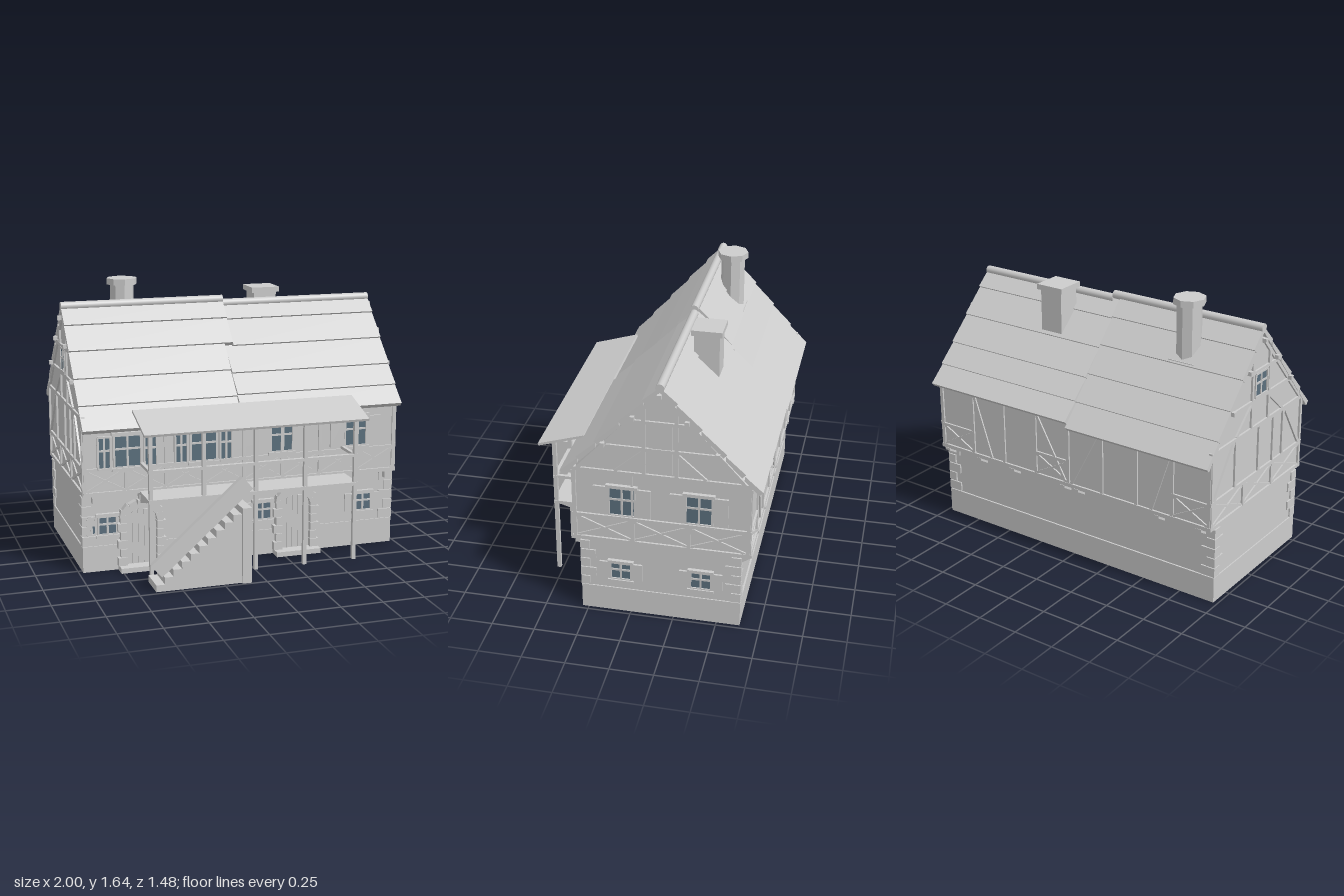
import * as THREE from 'three';

const plaster = new THREE.MeshStandardMaterial({ color: 0xcccccc });
plaster.name = 'light grey';
const glass = new THREE.MeshStandardMaterial({ color: 0x5b6f7d });
glass.name = 'window glass';

const RIDGE_Z = -0.175;

export function createModel() {
  const house = new THREE.Group();
  house.name = 'house';

  function add(parent, name, geo, mat = plaster) {
    const m = new THREE.Mesh(geo, mat);
    m.name = name;
    parent.add(m);
    return m;
  }
  // box given by its limits
  function box(parent, name, x1, x2, y1, y2, z1, z2, mat) {
    const m = add(parent, name, new THREE.BoxGeometry(x2 - x1, y2 - y1, z2 - z1), mat);
    m.position.set((x1 + x2) / 2, (y1 + y2) / 2, (z1 + z2) / 2);
    return m;
  }
  // straight bar between two points of a facade
  function beam(parent, name, u1, v1, u2, v2, w = 0.02, d = 0.01, z = 0) {
    const m = add(parent, name, new THREE.BoxGeometry(Math.hypot(u2 - u1, v2 - v1), w, d + 0.01));
    m.position.set((u1 + u2) / 2, (v1 + v2) / 2, z + d / 2 - 0.005);
    m.rotation.z = Math.atan2(v2 - v1, u2 - u1);
    return m;
  }
  // (z, y) outline extruded along x
  function prism(parent, name, points, x1, x2) {
    const shape = new THREE.Shape(points.map(p => new THREE.Vector2(...p)));
    const geo = new THREE.ExtrudeGeometry(shape, { depth: x2 - x1, bevelEnabled: false });
    geo.rotateY(-Math.PI / 2).translate(x2, 0, 0);
    return add(parent, name, geo);
  }
  // facade frame: local x along the wall, local z outwards
  function facade(name, x, z, turn) {
    const g = new THREE.Group();
    g.name = name;
    g.position.set(x, 0, z);
    g.rotation.y = turn;
    house.add(g);
    return g;
  }
  function pane(g, u, v, w, h, z) {
    box(g, 'windowPane', u - w / 2, u + w / 2, v - h / 2, v + h / 2, z - 0.002, z + 0.006, glass);
    beam(g, 'mullion', u, v - h / 2, u, v + h / 2, 0.012, 0.011, z);
    beam(g, 'glazingBar', u - w / 2, v + h * 0.08, u + w / 2, v + h * 0.08, 0.012, 0.011, z);
    for (const s of [-1, 1]) {
      beam(g, 'windowJamb', u + s * w / 2, v - h / 2, u + s * w / 2, v + h / 2, 0.012, 0.014, z);
      beam(g, 'windowRail', u - w / 2, v + s * h / 2, u + w / 2, v + s * h / 2, 0.012, 0.014, z);
    }
  }
  function windowUnit(g, u, v, w, h, z, shutter) {
    pane(g, u, v, w, h, z);
    for (const s of [-1, 1]) {
      beam(g, s < 0 ? 'windowSill' : 'windowHead', u - w / 2 - 0.015, v + s * (h / 2 + 0.01),
        u + w / 2 + 0.015, v + s * (h / 2 + 0.01), 0.018, 0.022, z);
      const c = u + s * (w / 2 + shutter / 2 + 0.004);
      if (shutter) box(g, 'shutter', c - shutter / 2, c + shutter / 2, v - h / 2, v + h / 2, z, z + 0.012);
    }
  }
  function cross(g, u1, u2, z) {
    beam(g, 'crossBrace', u1, 0.49, u2, 0.62, 0.014, 0.008, z);
    beam(g, 'crossBrace', u1, 0.62, u2, 0.49, 0.014, 0.009, z);
  }

  // solid body
  box(house, 'plinth', -0.975, 0.975, 0, 0.155, -0.635, 0.287);
  box(house, 'groundFloor', -0.968, 0.968, 0.155, 0.475, -0.625, 0.28);
  prism(house, 'upperFloorAndGables', [[0.32, 0.47], [0.32, 0.91], [RIDGE_Z, 1.465], [-0.675, 0.91], [-0.675, 0.47]], -0.965, 0.965);

  // corner stones
  for (const sx of [-1, 1]) for (const front of [true, false]) for (let i = 0; i < 5; i++) {
    const long = i % 2 === 1 ? 0.09 : 0.055, y = 0.16 + i * 0.061;
    const z = front ? 0.29 : -0.635, zi = z + (front ? -long : long);
    const xi = 0.977 - (i % 2 ? 0.055 : 0.09);
    box(house, 'cornerStone', Math.min(sx * 0.977, sx * xi), Math.max(sx * 0.977, sx * xi),
      y, y + 0.056, Math.min(z, zi), Math.max(z, zi));
  }

  // joist ends carrying the overhang
  for (const x of [-0.9, -0.62, -0.06, 0.04, 0.42, 0.68, 0.93]) {
    box(house, 'frontJoist', x - 0.02, x + 0.02, 0.425, 0.47, 0.27, 0.325);
    prism(house, 'backJoist', [[-0.62, 0.41], [-0.62, 0.47], [-0.69, 0.47], [-0.69, 0.455]], x - 0.018, x + 0.018);
  }

  // gable ends
  for (const s of [1, -1]) {
    const g = facade(s > 0 ? 'leftGableEnd' : 'rightGableEnd', s * 0.965, 0, s * Math.PI / 2);
    const u = z => -s * z;
    const bar = (z1, y1, z2, y2, w) => beam(g, 'gableTimber', u(z1), y1, u(z2), y2, w, 0.012);
    for (const y of [0.48, 0.632, 0.93]) bar(0.33, y, -0.685, y, 0.022);
    bar(0.15, 1.095, -0.5, 1.095);
    bar(-0.01, 1.263, -0.34, 1.263);
    for (const z of [0.315, -0.67]) bar(z, 0.47, z, 0.93);
    for (const z of [-0.015, -0.335]) bar(z, 0.47, z, 0.63);
    bar(-0.015, 0.63, -0.015, 0.93, 0.012);
    for (const z of [-0.083, -0.265]) bar(z, 0.94, z, 1.36);
    bar(-0.09, 1.09, 0.08, 0.94, 0.016);
    bar(-0.26, 1.09, -0.43, 0.94, 0.016);
    for (const k of [1, -1]) bar(RIDGE_Z + k * 0.01, 1.44, RIDGE_Z + k * 0.47, 0.935);
    cross(g, u(0.305), u(-0.015), 0);
    cross(g, u(-0.015), u(-0.335), 0);
    cross(g, u(-0.335), u(-0.66), 0);
    for (const [d, y] of [[0, 1.435], [0.15, 1.29], [0.318, 1.11]]) for (const k of d ? [1, -1] : [1]) {
      const c = u(RIDGE_Z + k * d);
      box(g, 'purlinEnd', c - 0.012, c + 0.012, y - 0.012, y + 0.012, -0.01, 0.035);
    }
    if (s > 0) {
      box(g, 'atticHatch', u(-0.11), u(-0.24), 0.95, 1.25, -0.01, 0.006);
      for (const z of [0.043, -0.392]) windowUnit(g, u(z), 0.742, 0.15, 0.18, 0, 0.085);
      for (const z of [0.055, -0.407]) windowUnit(g, u(z), 0.277, 0.12, 0.11, 0.003, 0.06);
    } else {
      pane(g, u(RIDGE_Z), 1.18, 0.13, 0.14, 0);
      for (const [a, b] of [[0.3, 0.12], [-0.65, -0.45]]) bar(a, 0.64, b, 0.92);
      for (const z of [0.1, -0.175, -0.43]) bar(z, 0.63, z, 0.93);
    }
  }

  // long walls
  const front = facade('frontWall', 0, 0.32, 0);
  const back = facade('backWall', 0, -0.675, Math.PI);
  for (const g of [front, back]) {
    for (const y of [0.48, 0.9]) beam(g, 'wallPlate', -0.97, y, 0.97, y, 0.024, 0.012);
    for (let i = 0; i <= 8; i++) {
      const x = -0.96 + i * 0.24;
      const broken = g === front && (i === 1 || i === 3);
      beam(g, 'wallPost', x, 0.48, x, broken ? 0.63 : 0.9, 0.02, 0.01);
      if (i < 8 && (g === front || i === 0 || i === 3 || i === 7)) {
        beam(g, 'wallRail', x, 0.625, x + 0.24, 0.625, 0.018, 0.011);
        cross(g, x, x + 0.24, 0);
      }
    }
  }
  for (const [a, b] of [[-0.71, -0.58], [0.23, 0.02], [0.71, 0.58], [-0.24, -0.02]])
    beam(back, 'longBrace', a, 0.89, b, 0.49, 0.018, 0.009);
  for (const x of [-0.708, -0.25]) {
    windowUnit(front, x, 0.725, 0.16, 0.19, 0, 0);
    for (const s of [-1, 1]) pane(front, x + s * 0.137, 0.72, 0.075, 0.19, 0);
  }
  for (const x of [0.235, 0.71]) windowUnit(front, x, 0.738, 0.14, 0.18, 0, 0.09);

  const lower = facade('groundFloorFront', 0, 0.28, 0);
  pane(lower, -0.92, 0.277, 0.05, 0.1, 0);
  for (const [x, sh] of [[-0.825, 0], [-0.11, 0], [0.13, 0.04], [0.782, 0.06]])
    windowUnit(lower, x, 0.277, 0.11, 0.11, 0, sh);

  // arched doorways with stone surrounds
  for (const x of [-0.625, 0.337]) {
    const door = new THREE.Group();
    door.name = 'doorway';
    door.position.x = x;
    lower.add(door);
    for (let i = 0; i < 5; i++) {
      const h = 0.345 - Math.abs(i - 2) * 0.008;
      box(door, 'doorPlank', -0.09 + i * 0.036, -0.056 + i * 0.036, 0.03, h + 0.02, 0, 0.014);
    }
    for (const s of [-1, 1]) for (let i = 0; i < 6; i++) {
      const w = i % 2 ? 0.04 : 0.055, c = s * (0.09 + w / 2);
      box(door, 'jambStone', c - w / 2, c + w / 2, 0.03 + i * 0.052, 0.079 + i * 0.052, -0.01, 0.042);
    }
    for (let i = 0; i < 7; i++) {
      const a = (i + 0.5) * Math.PI / 7;
      const stone = add(door, 'archStone', new THREE.BoxGeometry(0.05, 0.046, 0.05));
      stone.position.set(Math.cos(a) * 0.108, 0.325 + Math.sin(a) * 0.07, 0.016);
      stone.rotation.z = a;
    }
    box(door, 'doorStep', -0.14, 0.14, 0, 0.03, 0, 0.09);
  }

  // roof: overlapping courses on both slopes of two joined halves
  const roofs = [
    { ys: [1.51, 1.4, 1.265, 1.125, 0.99, 0.865], left: true },
    { ys: [1.485, 1.39, 1.25, 1.11, 1.0, 0.9], left: false },
  ];
  for (const { ys, left } of roofs) {
    const span = 0.56;
    const z = y => span * (ys[0] - y) / (ys[0] - ys[5]);
    for (const k of [1, -1]) for (let i = 0; i < 5; i++) {
      const split = k > 0 && i < 2 ? 0.02 : -0.03;
      const a = z(ys[i]), b = z(ys[i + 1]);
      const pts = [[a, ys[i]], [b + 0.008, ys[i + 1] + 0.008], [b - 0.014, ys[i + 1] - 0.014], [a, ys[i] - 0.03]];
      prism(house, 'roofCourse', pts.map(p => [RIDGE_Z + k * p[0], p[1]]),
        left ? -0.98 : split, left ? split : 0.98);
    }
    const cap = add(house, 'ridgeCap', new THREE.CylinderGeometry(0.025, 0.025, left ? 1 : 0.96, 12));
    cap.rotation.z = Math.PI / 2;
    cap.position.set(left ? -0.48 : 0.5, ys[0] - 0.005, RIDGE_Z);
  }

  // chimneys
  for (const [name, r, y1, y2] of [['octagonalChimney', 0.073, 1.2, 1.61], ['octagonalChimneyCap', 0.093, 1.605, 1.643]]) {
    const m = add(house, name, new THREE.CylinderGeometry(r, r, y2 - y1, 8).toNonIndexed());
    m.geometry.computeVertexNormals();
    m.position.set(-0.577, (y1 + y2) / 2, -0.303);
  }
  box(house, 'chimneyFlashing', -0.662, -0.492, 1.23, 1.285, -0.388, -0.3);
  box(house, 'squareChimney', 0.25, 0.395, 1.18, 1.53, -0.392, -0.245);
  box(house, 'squareChimneyCap', 0.233, 0.411, 1.525, 1.557, -0.408, -0.23);

  // balcony
  const balcony = new THREE.Group();
  balcony.name = 'balcony';
  house.add(balcony);
  box(balcony, 'balconyFloor', -0.64, 0.64, 0.46, 0.48, 0.3, 0.54);
  for (const x of [-0.625, -0.31, 0.005, 0.31, 0.625]) {
    box(balcony, 'balconyPost', x - 0.011, x + 0.011, x === -0.31 ? 0.46 : 0, 0.885, 0.514, 0.538);
    prism(balcony, 'balconyBracket', [[0.51, 0.46], [0.29, 0.46], [0.29, 0.4], [0.31, 0.4]], x - 0.01, x + 0.01);
  }
  box(balcony, 'frontHandrail', -0.64, 0.64, 0.635, 0.652, 0.514, 0.538);
  box(balcony, 'canopyBeam', -0.64, 0.64, 0.865, 0.883, 0.514, 0.538);
  for (const x of [-0.625, 0.625]) box(balcony, 'sideHandrail', x - 0.01, x + 0.01, 0.635, 0.652, 0.32, 0.53);
  prism(balcony, 'canopy', [[0.335, 0.965], [0.61, 0.88], [0.605, 0.866], [0.33, 0.951]], -0.678, 0.675);

  // outside stair with sloping side board
  for (let i = 0; i < 10; i++) {
    const x = -0.65 + i * 0.0505;
    box(house, 'stairStep', x, x + 0.0505, 0, 0.04 + i * 0.041, 0.545, 0.725);
  }
  box(house, 'stairLanding', -0.145, -0.09, 0, 0.447, 0.545, 0.74);
  beam(house, 'stairBoard', -0.65, 0.125, -0.115, 0.595, 0.095, 0.025, 0.715);

  return house;
}
